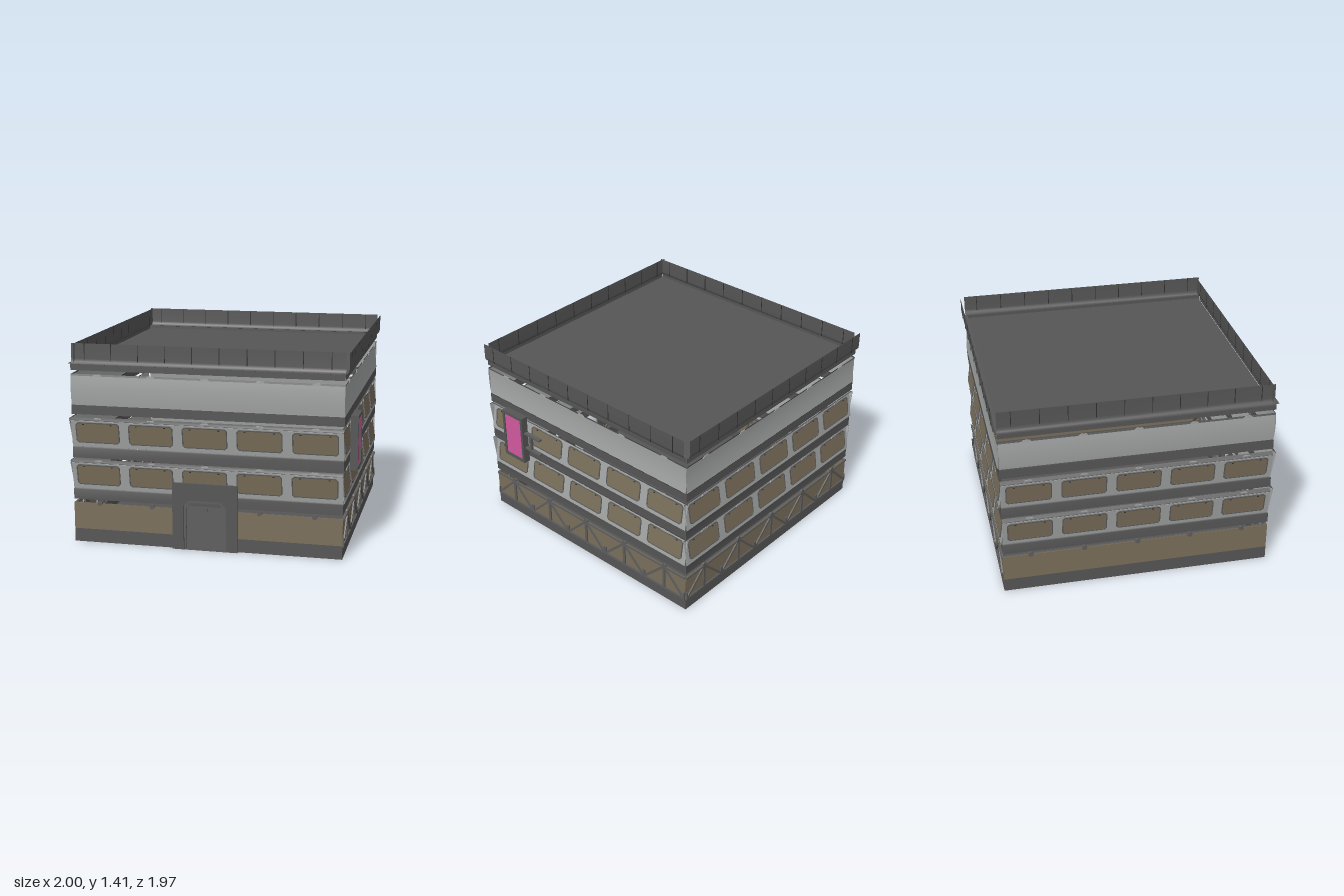
import * as THREE from 'three';

const mat = (name, color) => {
  const m = new THREE.MeshStandardMaterial({ color, side: THREE.DoubleSide });
  m.name = name;
  return m;
};

export function createModel() {
  const dark = mat('dark metal', 0x565656);
  const light = mat('light panel', 0xa4a6a6);
  const brown = mat('brown glazing', 0x7b6f5b);
  const steel = mat('truss steel', 0x5c5d5c);
  const black = mat('seam black', 0x303030);
  const pink = mat('sign pink', 0xd2599f);

  const W = 1.9, CELL = W / 5, CX = -0.02;
  const cells = [-2, -1, 0, 1, 2].map(i => i * CELL);

  const add = (parent, name, geo, m, x = 0, y = 0, z = 0) => {
    const mesh = new THREE.Mesh(geo, m);
    mesh.name = name;
    mesh.position.set(x, y, z);
    parent.add(mesh);
    return mesh;
  };
  const box = (parent, name, m, w, h, d, x, y, z) =>
    add(parent, name, new THREE.BoxGeometry(w, h, d), m, x, y, z);

  // Sheet swept along the facade from a [height, depth] profile
  const sheet = (parent, name, m, profile, s) => {
    const geo = new THREE.PlaneGeometry(W, 1, 1, profile.length - 1);
    const p = geo.attributes.position;
    for (let i = 0; i < p.count; i++) {
      const [y, d] = profile[profile.length - 1 - Math.floor(i / 2)];
      p.setY(i, y);
      p.setZ(i, d * s);
    }
    geo.computeVertexNormals();
    return add(parent, name, geo, m);
  };

  // Straight bar between two points in the facade plane
  const bar = (parent, name, x0, y0, x1, y1, z, t) => {
    const b = box(parent, name, steel, t, Math.hypot(x1 - x0, y1 - y0), 0.012, (x0 + x1) / 2, (y0 + y1) / 2, z);
    b.rotation.z = -Math.atan2(x1 - x0, y1 - y0);
  };

  const roundRect = (w, h, r, Type = THREE.Shape) => {
    const s = new Type(), a = w / 2, b = h / 2;
    s.moveTo(-a + r, -b);
    s.lineTo(a - r, -b); s.lineTo(a, -b + r);
    s.lineTo(a, b - r); s.lineTo(a - r, b);
    s.lineTo(-a + r, b); s.lineTo(-a, b - r);
    s.lineTo(-a, -b + r); s.lineTo(-a + r, -b);
    return s;
  };
  const paneGeo = new THREE.ShapeGeometry(roundRect(0.3, 0.136, 0.012));
  const rimShape = roundRect(0.314, 0.15, 0.016);
  rimShape.holes.push(roundRect(0.3, 0.136, 0.012, THREE.Path));
  const rimGeo = new THREE.ExtrudeGeometry(rimShape, { depth: 0.007, bevelEnabled: false });

  const tabShape = new THREE.Shape();
  [[-0.035, 0], [0.035, 0], [0.02, 0.016], [-0.02, 0.016]].forEach(([x, y], i) =>
    i ? tabShape.lineTo(x, y) : tabShape.moveTo(x, y));
  const tabGeo = new THREE.ExtrudeGeometry(tabShape, { depth: 0.004, bevelEnabled: false });

  // Skirt, tilted window band and upper ledge of one storey
  const windowFloor = (parent, y, s) => {
    const floor = new THREE.Group();
    floor.name = 'windowFloor';
    parent.add(floor);
    sheet(floor, 'skirt', dark, [[y, 0], [y + 0.072, 0], [y + 0.08, 0.008]], s);
    const d0 = 0.008, d1 = -0.022, h = 0.19;
    const band = new THREE.Group();
    band.name = 'windowBand';
    band.position.set(0, y + 0.08 + h / 2, s * (d0 + d1) / 2);
    band.rotation.x = Math.atan2(s * (d1 - d0), h);
    floor.add(band);
    box(band, 'windowPanel', light, W, h, 0.004, 0, 0, 0);
    for (const x of cells) {
      add(band, 'windowPane', paneGeo, brown, x, 0.01, 0.005);
      add(band, 'windowRim', rimGeo, steel, x, 0.01, 0.001);
      for (const k of [-0.1, 0.1]) box(band, 'windowHinge', black, 0.012, 0.006, 0.004, x + k, 0.072, 0.008);
      add(floor, 'ledgeTab', tabGeo, light, x, y + 0.274, s > 0 ? -0.004 : 0.012);
    }
    sheet(floor, 'ledge', dark, [[y + 0.27, d1], [y + 0.277, d1], [y + 0.292, 0]], s);
  };

  // One side of the building; s = 1 steps outward, s = -1 has its relief reversed
  const facade = (name, angle, dist, s, hasDoor) => {
    const pivot = new THREE.Group(), f = new THREE.Group();
    pivot.name = name;
    pivot.position.x = CX;
    pivot.rotation.y = angle;
    f.position.z = dist;
    pivot.add(f);

    // Ground storey, split around the doorway where there is one
    const spans = hasDoor ? [[-0.95, -0.15], [0.15, 0.95]] : [[-0.95, 0.95]];
    for (const [a, b] of spans) {
      box(f, 'base', dark, b - a, 0.095, 0.008, (a + b) / 2, 0.0475, -0.004);
      box(f, 'groundWall', brown, b - a, 0.19, 0.004, (a + b) / 2, 0.19, -0.002);
    }
    for (const x of cells) {
      const knob = add(f, 'trussKnob', new THREE.CylinderGeometry(0.018, 0.018, 0.018, 12), steel, x, 0.287, 0);
      knob.rotation.x = Math.PI / 2;
      if (hasDoor && x === 0) continue;
      const z = s > 0 ? 0.004 : -0.011;
      bar(f, 'trussPost', x, 0.1, x, 0.285, z, 0.02);
      for (const k of [-1, 1]) {
        bar(f, 'trussBrace', x + k * 0.18, 0.102, x, 0.28, z, 0.016);
        bar(f, 'trussFoot', x + k * 0.184, 0.1, x + k * 0.184, 0.15, z, 0.011);
      }
      bar(f, 'trussChord', x - 0.19, 0.278, x + 0.19, 0.278, z, 0.012);
      bar(f, 'trussSill', x - 0.19, 0.094, x + 0.19, 0.094, z, 0.016);
    }

    windowFloor(f, 0.31, s);
    windowFloor(f, 0.61, s);

    // Plain upper storey
    sheet(f, 'upperSkirt', dark, [[0.92, 0], [0.985, 0]], s);
    sheet(f, 'upperSeam', black, [[0.985, 0], [0.992, 0.004]], s);
    sheet(f, 'upperPanel', light, [[0.992, 0.004], [1.04, -0.002], [1.1, -0.005], [1.15, -0.005], [1.19, -0.002]], s);
    sheet(f, 'upperLedge', dark, [[1.19, -0.002], [1.203, 0.002]], s);
    for (const x of cells) add(f, 'upperTab', tabGeo, light, x, 1.188, 0.001);

    // Curved parapet with seams
    sheet(f, 'parapetSkirt', dark, [[1.228, 0], [1.27, 0]], s);
    sheet(f, 'parapetLip', dark, [[1.274, -0.02], [1.27, 0]], s);
    sheet(f, 'parapet', dark, [[1.27, 0], [1.274, 0.012], [1.285, 0.021], [1.305, 0.025], [1.412, 0.025]], s);
    for (let i = 0; i < 10; i++)
      box(f, 'parapetSeam', black, 0.005, 0.125, 0.004, -0.855 + i * 0.19, 1.347, s * 0.025);
    return pivot;
  };

  const model = new THREE.Group();
  model.name = 'building';
  model.add(
    facade('frontFacade', 0, 0.955, -1, true),
    facade('rightFacade', Math.PI / 2, 0.95, 1, false),
    facade('backFacade', Math.PI, 0.955, 1, false),
    facade('leftFacade', -Math.PI / 2, 0.95, -1, false));

  // Floor and roof slabs
  box(model, 'floor', dark, 1.9, 0.004, 1.91, CX, 0.002, 0);
  box(model, 'roof', dark, 1.86, 0.006, 1.872, -0.025, 1.25, 0);

  // Door surround with chamfered opening
  const arch = (Type, w, h, c) => {
    const p = new Type();
    p.moveTo(-w, 0); p.lineTo(w, 0); p.lineTo(w, h - c);
    p.lineTo(w - c, h); p.lineTo(c - w, h); p.lineTo(-w, h - c); p.lineTo(-w, 0);
    return p;
  };
  const surround = arch(THREE.Shape, 0.23, 0.475, 0.004);
  surround.holes.push(arch(THREE.Path, 0.15, 0.355, 0.04));
  const rim = arch(THREE.Shape, 0.15, 0.355, 0.04);
  rim.holes.push(arch(THREE.Path, 0.135, 0.335, 0.036));
  add(model, 'doorSurround', new THREE.ExtrudeGeometry(surround, { depth: 0.028, bevelEnabled: false }), dark, CX, 0, 0.95);
  add(model, 'doorRim', new THREE.ExtrudeGeometry(rim, { depth: 0.014, bevelEnabled: false }), steel, CX, 0, 0.95);

  // Side sign: raised frame, coloured face and wall bracket
  const sign = new THREE.Group();
  sign.name = 'sign';
  model.add(sign);
  box(sign, 'signBody', dark, 0.042, 0.38, 0.205, 0.967, 0.765, 0.656);
  box(sign, 'signFace', pink, 0.004, 0.335, 0.165, 0.99, 0.767, 0.656);
  for (const k of [-1, 1]) {
    box(sign, 'signFrameSide', dark, 0.012, 0.38, 0.02, 0.993, 0.765, 0.656 + k * 0.0925);
    box(sign, 'signFrameEnd', dark, 0.012, 0.022, 0.205, 0.993, 0.765 + k * 0.179, 0.656);
    box(sign, 'signArm', steel, 0.03, 0.014, 0.155, 0.967, 0.762 + k * 0.062, 0.477);
  }
  box(sign, 'signPost', steel, 0.02, 0.12, 0.022, 0.967, 0.762, 0.5);
  return model;
}
